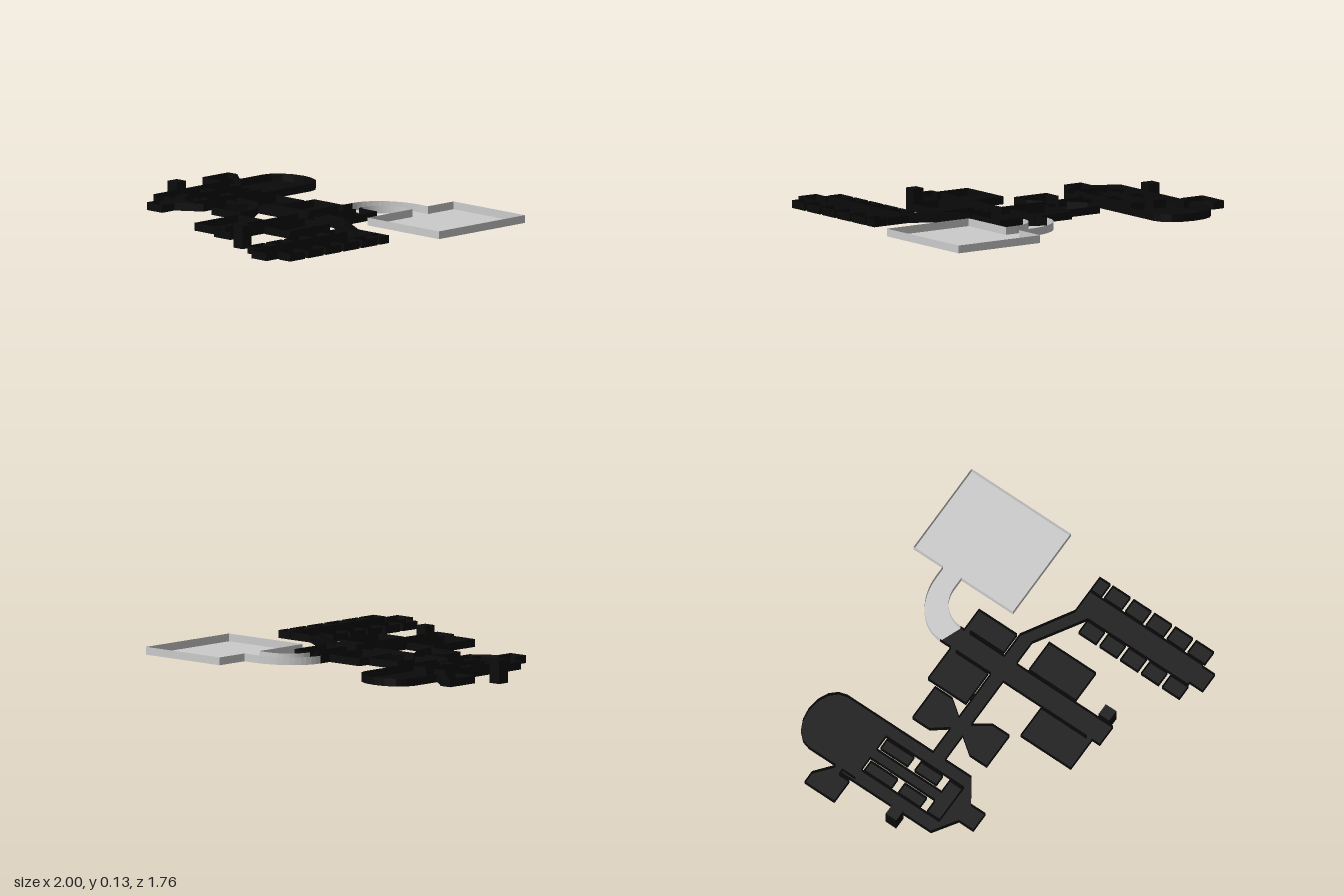
import * as THREE from 'three';
import { mergeGeometries } from 'three/addons/utils/BufferGeometryUtils.js';

const FLOOR = 0.045, TOP = 0.088;
const dark = new THREE.MeshStandardMaterial({ color: 0x0a0a0a, side: THREE.DoubleSide, flatShading: true });
const grey = new THREE.MeshStandardMaterial({ color: 0xcccccc, side: THREE.DoubleSide, flatShading: true });

// Open-topped room: floor from a plan outline of [x, z] corners, thin walls on every edge not listed in open
function room(name, pts, open = [], material = dark) {
  const shape = new THREE.Shape(pts.map(([x, z]) => new THREE.Vector2(x, -z)));
  const parts = [new THREE.ShapeGeometry(shape).rotateX(-Math.PI / 2).translate(0, FLOOR, 0)];
  pts.forEach(([x, z], i) => {
    if (open.includes(i)) return;
    const [x2, z2] = pts[(i + 1) % pts.length];
    const wall = new THREE.PlaneGeometry(Math.hypot(x2 - x, z2 - z), TOP - FLOOR);
    wall.rotateY(-Math.atan2(z2 - z, x2 - x));
    parts.push(wall.translate((x + x2) / 2, (FLOOR + TOP) / 2, (z + z2) / 2));
  });
  const mesh = new THREE.Mesh(mergeGeometries(parts), material);
  mesh.name = name;
  return mesh;
}

// Edges of rect: 0 back, 1 right, 2 front, 3 left
const rect = (x1, x2, z1, z2) => [[x1, z1], [x2, z1], [x2, z2], [x1, z2]];

function shaft(name, x1, x2, z1, z2) {
  const mesh = new THREE.Mesh(new THREE.BoxGeometry(x2 - x1, 0.128, z2 - z1), dark);
  mesh.position.set((x1 + x2) / 2, 0.064, (z1 + z2) / 2);
  mesh.name = name;
  return mesh;
}

function arc(cx, cz, rx, rz, from, to, n) {
  return Array.from({ length: n + 1 }, (_, i) => {
    const a = from + (to - from) * i / n;
    return [cx + rx * Math.cos(a), cz + rz * Math.sin(a)];
  });
}

function createModel() {
  const model = new THREE.Group();
  model.name = 'floorPlan';

  // West block: rounded hall, side aisles, cells and forecourt
  const west = new THREE.Group();
  west.name = 'westBlock';
  west.add(room('roundedHall', [
    ...arc(-0.64, -0.69, 0.183, 0.13, Math.PI, 2 * Math.PI, 8),
    [-0.457, -0.385], [-0.53, -0.385], [-0.62, -0.385], [-0.68, -0.385], [-0.765, -0.385], [-0.823, -0.385],
    [-0.823, -0.47], [-0.823, -0.515],
  ], [9, 11, 13, 15]));
  west.add(room('leftAisle', [[-0.843, -0.47], [-0.823, -0.47], [-0.823, -0.385], [-0.765, -0.385],
    [-0.765, 0.13], [-0.843, 0.13], [-0.843, -0.05], [-0.843, -0.12]], [2, 4, 6]));
  west.add(room('rightAisle', [[-0.53, -0.385], [-0.457, -0.385], [-0.457, -0.125], [-0.457, -0.045],
    [-0.457, 0.13], [-0.53, 0.13]], [0, 2, 4]));
  west.add(room('middleCorridor', rect(-0.68, -0.62, -0.385, 0.045), [0, 2]));
  for (const [z1, z2] of [[-0.37, -0.19], [-0.145, 0]]) {
    const zm = (z1 + z2) / 2 - 0.01;
    west.add(room('cell', rect(-0.76, -0.695, z1, z2)), room('cell', rect(-0.605, -0.54, z1, z2)));
    west.add(room('cellDoor', rect(-0.765, -0.76, zm, zm + 0.04), [1, 3]));
    west.add(room('cellDoor', rect(-0.54, -0.53, zm, zm + 0.04), [1, 3]));
  }
  west.add(room('frontCell', [[-0.76, 0.045], [-0.68, 0.045], [-0.62, 0.045], [-0.54, 0.045],
    [-0.54, 0.13], [-0.76, 0.13]], [1]));
  west.add(room('forecourt', [[-0.843, 0.13], [-0.765, 0.13], [-0.53, 0.13], [-0.457, 0.13], [-0.59, 0.22],
    [-0.59, 0.315], [-0.705, 0.315], [-0.705, 0.22]], [0, 2]));
  west.add(room('annex', [[-1, -0.597], [-0.93, -0.597], [-0.83, -0.515], [-0.823, -0.515], [-0.823, -0.47],
    [-0.855, -0.47], [-0.855, -0.4], [-1, -0.4]], [3]));
  west.add(shaft('leftShaft', -0.915, -0.843, -0.12, -0.05));
  model.add(west);

  // Cross corridor with flared bays on both sides
  model.add(room('crossCorridor', [[-0.457, -0.125], [-0.29, -0.125], [-0.36, -0.215], [-0.36, -0.33],
    [-0.143, -0.33], [-0.143, -0.215], [-0.21, -0.125], [0.095, -0.125], [0.095, -0.045], [-0.21, -0.045],
    [-0.143, 0.05], [-0.143, 0.163], [-0.36, 0.163], [-0.36, 0.05], [-0.29, -0.045], [-0.457, -0.045]], [7, 15]));

  // Central hall and the rooms around it
  const central = new THREE.Group();
  central.name = 'centralBlock';
  central.add(room('centralHall', [[0.095, -0.465], [0.22, -0.415], [0.22, -0.39], [0.22, -0.355],
    [0.22, -0.125], [0.22, -0.045], [0.22, 0.5], [0.22, 0.57], [0.22, 0.595], [0.095, 0.595], [0.095, 0.545],
    [0.095, 0.51], [0.095, -0.045], [0.095, -0.125], [0.095, -0.355], [0.095, -0.39]], [0, 2, 4, 6, 10, 12, 14]));
  central.add(room('backLeftRoom', [[-0.127, -0.39], [0.095, -0.39], [0.095, -0.355], [0.088, -0.355],
    [0.088, -0.137], [-0.127, -0.137]], [1]));
  central.add(room('backRightRoom', [[0.22, -0.39], [0.36, -0.39], [0.36, -0.137], [0.232, -0.137],
    [0.232, -0.355], [0.22, -0.355]], [5]));
  central.add(room('backRoomDoor', rect(-0.09, -0.06, -0.137, -0.125), [0, 2]));
  central.add(room('frontLeftRoom', [[-0.108, 0.212], [0.088, 0.212], [0.088, 0.51], [0.095, 0.51],
    [0.095, 0.545], [-0.108, 0.545]], [3]));
  central.add(room('frontRightRoom', rect(0.23, 0.422, 0.032, 0.342)));
  central.add(room('frontRightDoor', rect(0.22, 0.23, 0.035, 0.075), [1, 3]));
  central.add(shaft('centralShaft', 0.22, 0.288, 0.5, 0.57));
  model.add(central);

  // East wing: angled corridor, long hall and rows of small rooms
  const east = new THREE.Group();
  east.name = 'eastWing';
  east.add(room('angledCorridor', [[0.22, -0.125], [0.37, -0.125], [0.653, 0.043], [0.653, 0.128],
    [0.37, -0.045], [0.22, -0.045]], [2, 5]));
  east.add(room('longHall', [[0.653, 0.043], [0.795, 0.043], [0.795, 0.79], [0.785, 0.79], [0.785, 0.877],
    [0.668, 0.877], [0.668, 0.79], [0.653, 0.79], [0.653, 0.128]], [8]));
  east.add(room('closet', rect(0.8, 0.887, 0.043, 0.113)));
  for (let i = 0; i < 5; i++) {
    const z = 0.13 + i * 0.138;
    for (const [x1, x2, d1, d2] of [[0.56, 0.646, 0.646, 0.653], [0.802, 0.887, 0.795, 0.802]]) {
      east.add(room('smallRoom', rect(x1, x2, z, z + 0.116)));
      east.add(room('smallRoomDoor', rect(d1, d2, z + 0.045, z + 0.075), [1, 3]));
    }
  }
  model.add(east);

  // Pale curved passage leading to the square room
  model.add(room('curvedPassage', [
    ...arc(0.38, -0.465, 0.285, 0.225, Math.PI, 1.5 * Math.PI, 12), [0.45, -0.69], [0.45, -0.57],
    ...arc(0.38, -0.415, 0.16, 0.155, 1.5 * Math.PI, Math.PI, 12),
  ], [13, 27], grey));
  model.add(room('squareRoom', [[0.45, -0.885], [1, -0.885], [1, -0.228], [0.45, -0.228],
    [0.45, -0.57], [0.45, -0.69]], [4], grey));

  return model;
}

export { createModel };
